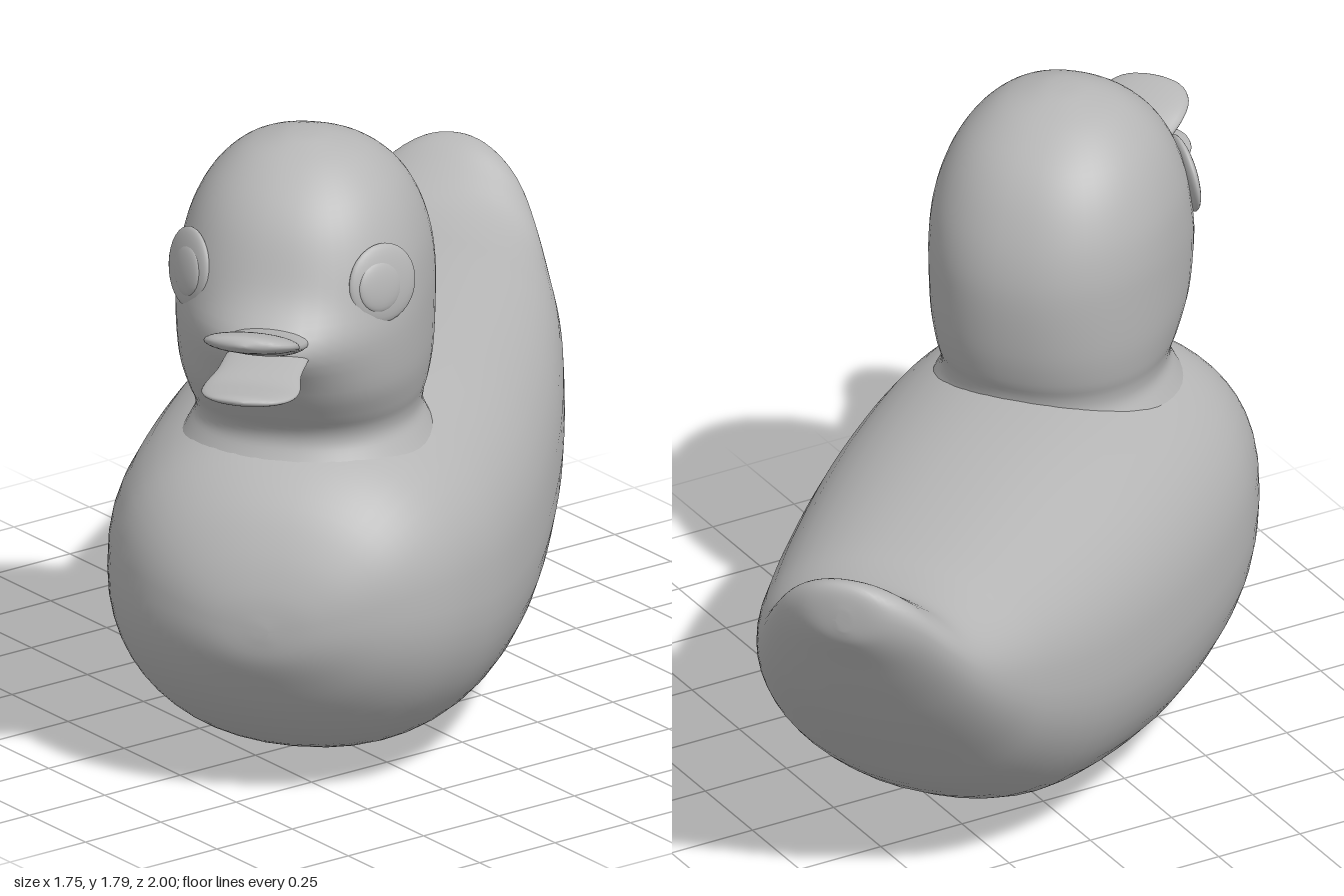
import * as THREE from 'three';

const TAU = Math.PI * 2;

// Catmull-Rom resampling of rows of numbers
function resample(rows, steps) {
  const out = [];
  const at = (i) => rows[Math.min(Math.max(i, 0), rows.length - 1)];
  for (let i = 0; i < rows.length - 1; i++) {
    for (let k = 0; k < steps; k++) {
      const t = k / steps;
      out.push(rows[i].map((_, c) => {
        const a = at(i - 1)[c], b = at(i)[c], d = at(i + 1)[c], e = at(i + 2)[c];
        return 0.5 * (2 * b + (d - a) * t + (2 * a - 5 * b + 4 * d - e) * t * t + (3 * b - a - 3 * d + e) * t * t * t);
      }));
    }
  }
  out.push(rows[rows.length - 1]);
  return out;
}

// Closed skin over a row of rings; point(row, angle) gives [x, y, z]
function loft(rows, sides, point) {
  const pos = [], index = [];
  for (const row of rows) {
    for (let j = 0; j < sides; j++) pos.push(...point(row, (j / sides) * TAU));
  }
  for (let i = 0; i < rows.length - 1; i++) {
    for (let j = 0; j < sides; j++) {
      const a = i * sides + j, b = i * sides + ((j + 1) % sides);
      index.push(a, b, a + sides, b, b + sides, a + sides);
    }
  }
  const last = (rows.length - 1) * sides;
  for (let j = 1; j < sides - 1; j++) {
    index.push(0, j + 1, j, last, last + j, last + j + 1);
  }
  const geo = new THREE.BufferGeometry();
  geo.setAttribute('position', new THREE.Float32BufferAttribute(pos, 3));
  geo.setIndex(index);
  geo.computeVertexNormals();
  return geo;
}

const power = (v, e) => Math.sign(v) * Math.pow(Math.abs(v), e);

export function createModel() {
  const grey = new THREE.MeshStandardMaterial({ color: 0xb6b6b6 });
  grey.name = 'plain grey';

  const duck = new THREE.Group();
  duck.name = 'duck';
  const add = (name, geo, parent = duck) => {
    const mesh = new THREE.Mesh(geo, grey);
    mesh.name = name;
    parent.add(mesh);
    return mesh;
  };

  // Body with upturned tail: z, top, bottom, half width
  const body = [
    [-1.203, 1.08, 1.02, 0.02],
    [-1.194, 1.13, 0.985, 0.085],
    [-1.172, 1.15, 0.945, 0.14],
    [-1.125, 1.135, 0.87, 0.205],
    [-1.06, 1.085, 0.76, 0.26],
    [-0.97, 1.03, 0.62, 0.315],
    [-0.84, 1.01, 0.455, 0.375],
    [-0.68, 1.01, 0.285, 0.425],
    [-0.4, 1.012, 0.11, 0.487],
    [-0.04, 1.015, 0.02, 0.535],
    [0.25, 1.01, 0.0, 0.55],
    [0.5, 1.0, 0.03, 0.54],
    [0.68, 0.985, 0.09, 0.5],
    [0.8, 0.94, 0.165, 0.447],
    [0.9, 0.855, 0.265, 0.362],
    [0.97, 0.745, 0.37, 0.255],
    [1.01, 0.64, 0.45, 0.14],
    [1.022, 0.56, 0.52, 0.02],
  ];
  add('body', loft(resample(body, 4), 48, ([z, top, bottom, w], a) => {
    // Upper half is squarer along the back and round at the tail
    const e = Math.sin(a) > 0 ? 0.8 + 0.25 * THREE.MathUtils.smoothstep(-z, 0.7, 1.1) : 0.94;
    return [
      w * power(Math.cos(a), 0.92),
      (top + bottom) / 2 + ((top - bottom) / 2) * power(Math.sin(a), e),
      z,
    ];
  }));

  // Head and neck: y, back, front, half width
  const head = [
    [0.9, 0.13, 0.82, 0.345],
    [0.95, 0.155, 0.79, 0.318],
    [0.99, 0.165, 0.775, 0.3],
    [1.03, 0.16, 0.785, 0.302],
    [1.08, 0.14, 0.825, 0.316],
    [1.17, 0.12, 0.885, 0.332],
    [1.3, 0.11, 0.915, 0.338],
    [1.4, 0.117, 0.895, 0.336],
    [1.5, 0.145, 0.865, 0.323],
    [1.6, 0.195, 0.82, 0.29],
    [1.68, 0.262, 0.76, 0.24],
    [1.745, 0.355, 0.68, 0.165],
    [1.78, 0.45, 0.6, 0.07],
    [1.787, 0.52, 0.54, 0.01],
  ];
  add('head', loft(resample(head, 4), 56, ([y, back, front, w], a) => {
    const f = -Math.sin(a);
    // Face drawn forward to the root of the beak
    const pull = f > 0 ? 0.075 * Math.pow(f, 7) * Math.exp(-(((y - 1.31) / 0.09) ** 2)) : 0;
    return [
      w * power(Math.cos(a), 0.9),
      y,
      (back + front) / 2 + ((front - back) / 2) * power(f, 0.9) + pull,
    ];
  }));

  // Beak halves: z, height, half width, half thickness
  const beakPoint = ([z, y, w, t], a) => [w * Math.cos(a), y + t * Math.sin(a), z];
  const upperBeak = [
    [0.86, 1.335, 0.1, 0.03],
    [0.95, 1.342, 0.11, 0.034],
    [1.05, 1.37, 0.113, 0.033],
    [1.12, 1.4, 0.127, 0.031],
    [1.18, 1.42, 0.12, 0.029],
    [1.225, 1.433, 0.083, 0.022],
    [1.243, 1.434, 0.01, 0.004],
  ];
  const lowerBeak = [
    [0.86, 1.3, 0.1, 0.025],
    [0.95, 1.298, 0.112, 0.022],
    [1.05, 1.288, 0.115, 0.02],
    [1.13, 1.275, 0.131, 0.018],
    [1.195, 1.275, 0.122, 0.018],
    [1.245, 1.28, 0.083, 0.014],
    [1.265, 1.282, 0.01, 0.004],
  ];
  add('upperBeak', loft(resample(upperBeak, 4), 28, beakPoint));
  add('lowerBeak', loft(resample(lowerBeak, 4), 28, beakPoint));

  // Eyes: a shallow domed disc with a smaller dome on it
  for (const side of [1, -1]) {
    const eye = new THREE.Group();
    eye.name = side > 0 ? 'leftEye' : 'rightEye';
    eye.position.set(side * 0.264, 1.455, 0.743);
    eye.rotation.order = 'YXZ';
    eye.rotation.set(-0.14, side * 0.87, 0);
    const eyeball = add('eyeball', new THREE.SphereGeometry(0.108, 32, 16), eye);
    eyeball.scale.z = 0.22;
    const pupil = add('pupil', new THREE.SphereGeometry(0.07, 28, 14), eye);
    pupil.position.set(-side * 0.016, -0.004, 0.013);
    pupil.scale.z = 0.24;
    duck.add(eye);
  }

  // The duck faces diagonally
  duck.rotation.y = THREE.MathUtils.degToRad(40);
  const model = new THREE.Group();
  model.name = 'duckModel';
  model.add(duck);
  return model;
}
